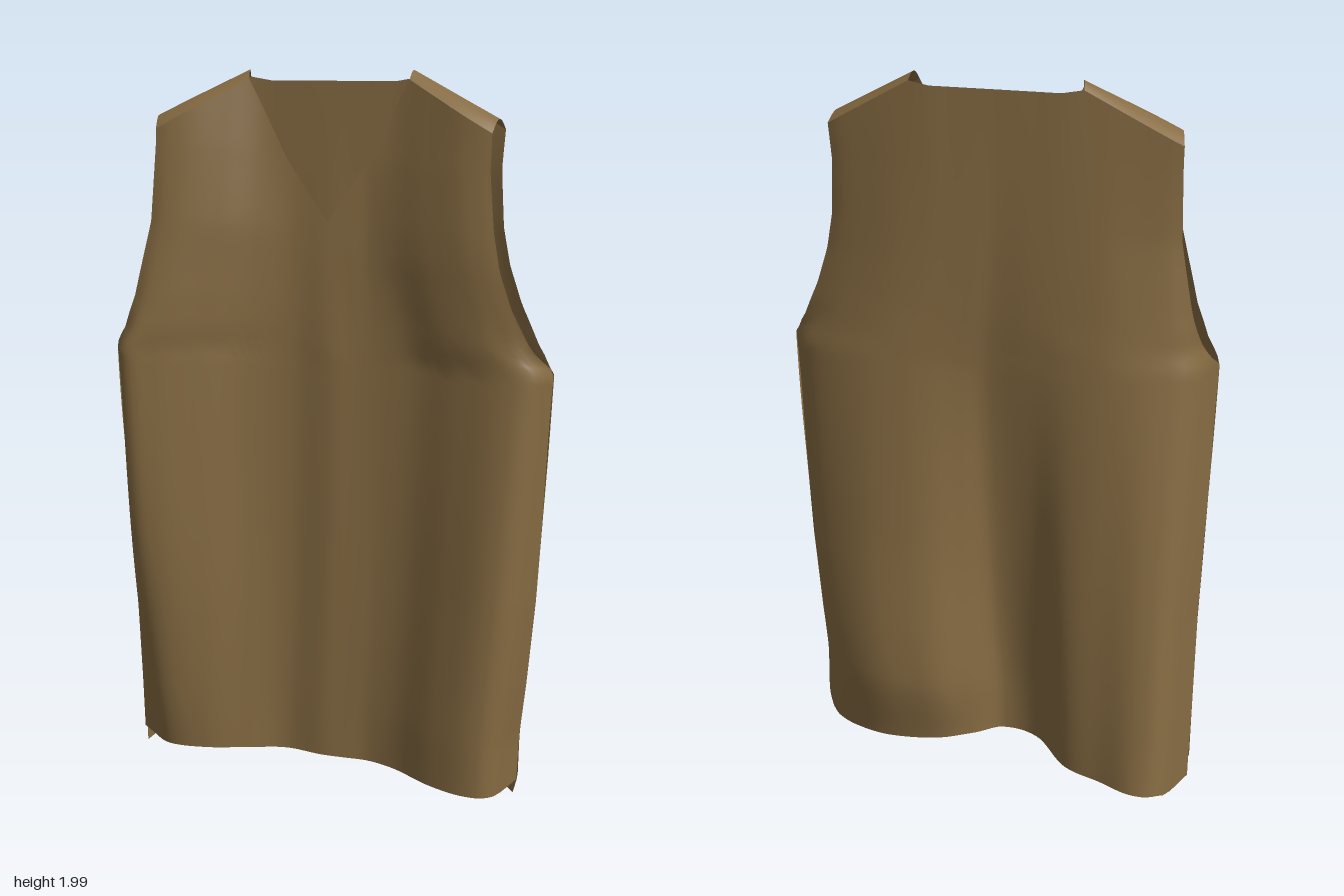
import * as THREE from 'three';

// Cross-section stations across the width (-1 = model's right edge, 1 = left edge)
const STATIONS = [-1, -0.93, -0.8, -0.6, -0.4, -0.2, 0, 0.12, 0.25, 0.4, 0.6, 0.8, 0.93, 1];
const LEVELS = [0.03, 0.25, 0.7, 1.24, 1.28, 1.38, 1.6, 2.0];

// Depth of each sheet at the stations, one row per level from hem to shoulder
const FRONT_Z = [
  [0.015, 0.045, 0.105, 0.107, 0.075, 0.04, 0.055, 0.055, 0.055, 0.085, 0.155, 0.192, 0.165, 0.045],
  [0.03, 0.09, 0.135, 0.115, 0.07, 0.04, 0.054, 0.052, 0.054, 0.08, 0.149, 0.188, 0.16, 0.045],
  [0.07, 0.155, 0.167, 0.122, 0.064, 0.037, 0.05, 0.047, 0.048, 0.067, 0.125, 0.165, 0.142, 0.05],
  [0.108, 0.178, 0.167, 0.12, 0.064, 0.036, 0.045, 0.04, 0.042, 0.055, 0.1, 0.13, 0.118, 0.06],
  [0.132, 0.176, 0.164, 0.117, 0.064, 0.036, 0.044, 0.039, 0.041, 0.055, 0.099, 0.128, 0.122, 0.1],
  [0.145, 0.162, 0.152, 0.11, 0.062, 0.035, 0.04, 0.036, 0.038, 0.053, 0.095, 0.12, 0.124, 0.12],
  [0.125, 0.132, 0.125, 0.095, 0.055, 0.03, 0.031, 0.03, 0.03, 0.048, 0.085, 0.113, 0.118, 0.115],
  [0.09, 0.088, 0.075, 0.04, 0.01, 0.01, 0.01, 0.01, 0.01, 0.01, 0.04, 0.075, 0.088, 0.09],
];
const BACK_Z = [
  [0, -0.15, -0.195, -0.162, -0.122, -0.005, 0.014, -0.04, -0.085, -0.105, -0.105, -0.07, -0.025, 0.02],
  [0.03, -0.125, -0.167, -0.147, -0.115, -0.01, 0.009, -0.06, -0.12, -0.14, -0.137, -0.09, -0.028, 0.045],
  [0.065, -0.068, -0.115, -0.114, -0.094, -0.028, -0.013, -0.056, -0.095, -0.109, -0.102, -0.062, -0.012, 0.05],
  [0.108, 0, -0.05, -0.075, -0.07, -0.052, -0.038, -0.05, -0.063, -0.07, -0.06, -0.03, 0.01, 0.06],
  [0.065, -0.006, -0.048, -0.071, -0.068, -0.053, -0.04, -0.05, -0.061, -0.068, -0.058, -0.031, 0.004, 0.03],
  [0.015, -0.02, -0.045, -0.063, -0.062, -0.055, -0.045, -0.052, -0.058, -0.062, -0.055, -0.033, -0.01, 0.007],
  [-0.005, -0.02, -0.035, -0.052, -0.056, -0.054, -0.05, -0.053, -0.055, -0.056, -0.05, -0.033, -0.018, -0.003],
  [-0.02, -0.025, -0.032, -0.042, -0.05, -0.05, -0.05, -0.05, -0.05, -0.05, -0.042, -0.032, -0.025, -0.02],
];

// Side outlines as [y, x]: straight flank, then the armhole (cut deeper in front)
const RIGHT_FLANK = [[0, -0.605], [0.5, -0.6], [1.25, -0.61]];
const LEFT_FLANK = [[0, 0.525], [0.06, 0.54], [0.2, 0.545], [0.35, 0.56], [0.6, 0.58], [1, 0.6], [1.23, 0.61]];
const FRONT_EDGES = [
  [...RIGHT_FLANK, [1.31, -0.57], [1.4, -0.535], [1.6, -0.49], [1.8, -0.478], [2, -0.478]],
  [...LEFT_FLANK, [1.3, 0.555], [1.4, 0.505], [1.5, 0.47], [1.6, 0.452], [1.75, 0.438], [2, 0.442]],
];
const BACK_EDGES = [
  [...RIGHT_FLANK, [1.31, -0.575], [1.4, -0.55], [1.6, -0.515], [1.8, -0.51], [2, -0.512]],
  [...LEFT_FLANK, [1.3, 0.56], [1.4, 0.51], [1.5, 0.475], [1.6, 0.455], [1.75, 0.445], [2, 0.462]],
];

// Top and bottom outlines as [station, y]
const FRONT_TOP = [[-1, 1.845], [-0.48, 1.975], [-0.25, 1.77], [0, 1.6], [0.25, 1.77], [0.48, 1.975], [1, 1.845]];
const BACK_TOP = [[-1, 1.85], [-0.48, 1.98], [-0.36, 1.97], [0.36, 1.97], [0.48, 1.98], [1, 1.85]];
const FRONT_HEM = [[-1, 0.06], [1, 0.06]];
const BACK_HEM = [[-1, 0.005], [-0.9, 0.035], [-0.1, 0.045], [0.2, 0.045], [0.7, 0.02], [1, 0.005]];

function linear(points, t) {
  let i = 0;
  while (i < points.length - 2 && t > points[i + 1][0]) i++;
  const [a, b] = [points[i], points[i + 1]];
  const k = THREE.MathUtils.clamp((t - a[0]) / (b[0] - a[0]), 0, 1);
  return a[1] + (b[1] - a[1]) * k;
}

// Smooth curve through unevenly spaced knots
function smooth(knots, values, at) {
  const n = knots.length;
  let i = 0;
  while (i < n - 2 && at > knots[i + 1]) i++;
  const slope = (j) => {
    const a = Math.max(j - 1, 0), b = Math.min(j + 1, n - 1);
    return (values[b] - values[a]) / (knots[b] - knots[a]);
  };
  const h = knots[i + 1] - knots[i];
  const t = THREE.MathUtils.clamp((at - knots[i]) / h, 0, 1), t2 = t * t, t3 = t2 * t;
  return (2 * t3 - 3 * t2 + 1) * values[i] + (t3 - 2 * t2 + t) * h * slope(i)
    + (3 * t2 - 2 * t3) * values[i + 1] + (t3 - t2) * h * slope(i + 1);
}

// Point on a sheet at station u and height fraction v
function panelPoint(depths, edges, top, hem, u, v) {
  const y = THREE.MathUtils.lerp(linear(hem, u), linear(top, u), v);
  const x = THREE.MathUtils.lerp(linear(edges[0], y), linear(edges[1], y), (u + 1) / 2);
  const z = smooth(LEVELS, depths.map((row) => smooth(STATIONS, row, u)), y);
  return [x, y, z];
}
const frontPoint = (u, v) => panelPoint(FRONT_Z, FRONT_EDGES, FRONT_TOP, FRONT_HEM, u, v);
const backPoint = (u, v) => panelPoint(BACK_Z, BACK_EDGES, BACK_TOP, BACK_HEM, u, v);

// Shoulder strip arching from the front sheet over to the back sheet
function shoulderPoint(u, w) {
  const a = frontPoint(u, 1), b = backPoint(u, 1);
  const p = a.map((value, i) => THREE.MathUtils.lerp(value, b[i], w));
  p[1] += (0.013 + 0.018 * Math.abs(u)) * Math.sin(Math.PI * w);
  return p;
}

// Grid surface over the given columns
function sheet(point, columns, rows, flip) {
  const positions = [], index = [];
  const n = columns.length;
  for (let j = 0; j <= rows; j++) {
    for (const u of columns) positions.push(...point(u, j / rows));
  }
  for (let j = 0; j < rows; j++) {
    for (let i = 0; i < n - 1; i++) {
      const a = j * n + i, b = a + 1, c = a + n, d = c + 1;
      if (flip) index.push(a, c, b, b, c, d);
      else index.push(a, b, c, b, d, c);
    }
  }
  const geometry = new THREE.BufferGeometry();
  geometry.setAttribute('position', new THREE.Float32BufferAttribute(positions, 3));
  geometry.setIndex(index);
  geometry.computeVertexNormals();
  return geometry;
}

const span = (a, b, n) => Array.from({ length: n + 1 }, (_, i) => a + (b - a) * i / n);

export function createModel() {
  const model = new THREE.Group();
  model.name = 'knittedVest';
  const wool = new THREE.MeshStandardMaterial({ color: 0x866b42, side: THREE.DoubleSide });
  wool.name = 'brownWool';

  const add = (name, geometry) => {
    const mesh = new THREE.Mesh(geometry, wool);
    mesh.name = name;
    model.add(mesh);
  };

  // Columns fall exactly on the neck corners and the point of the V
  const columns = [
    ...span(-1, -0.48, 22), ...span(-0.48, 0, 20).slice(1),
    ...span(0, 0.48, 20).slice(1), ...span(0.48, 1, 22).slice(1),
  ];
  add('frontPanel', sheet(frontPoint, columns, 80, false));
  add('backPanel', sheet(backPoint, columns, 80, true));
  add('rightShoulder', sheet(shoulderPoint, span(-1, -0.48, 22), 10, false));
  add('leftShoulder', sheet(shoulderPoint, span(0.48, 1, 22), 10, false));
  return model;
}
